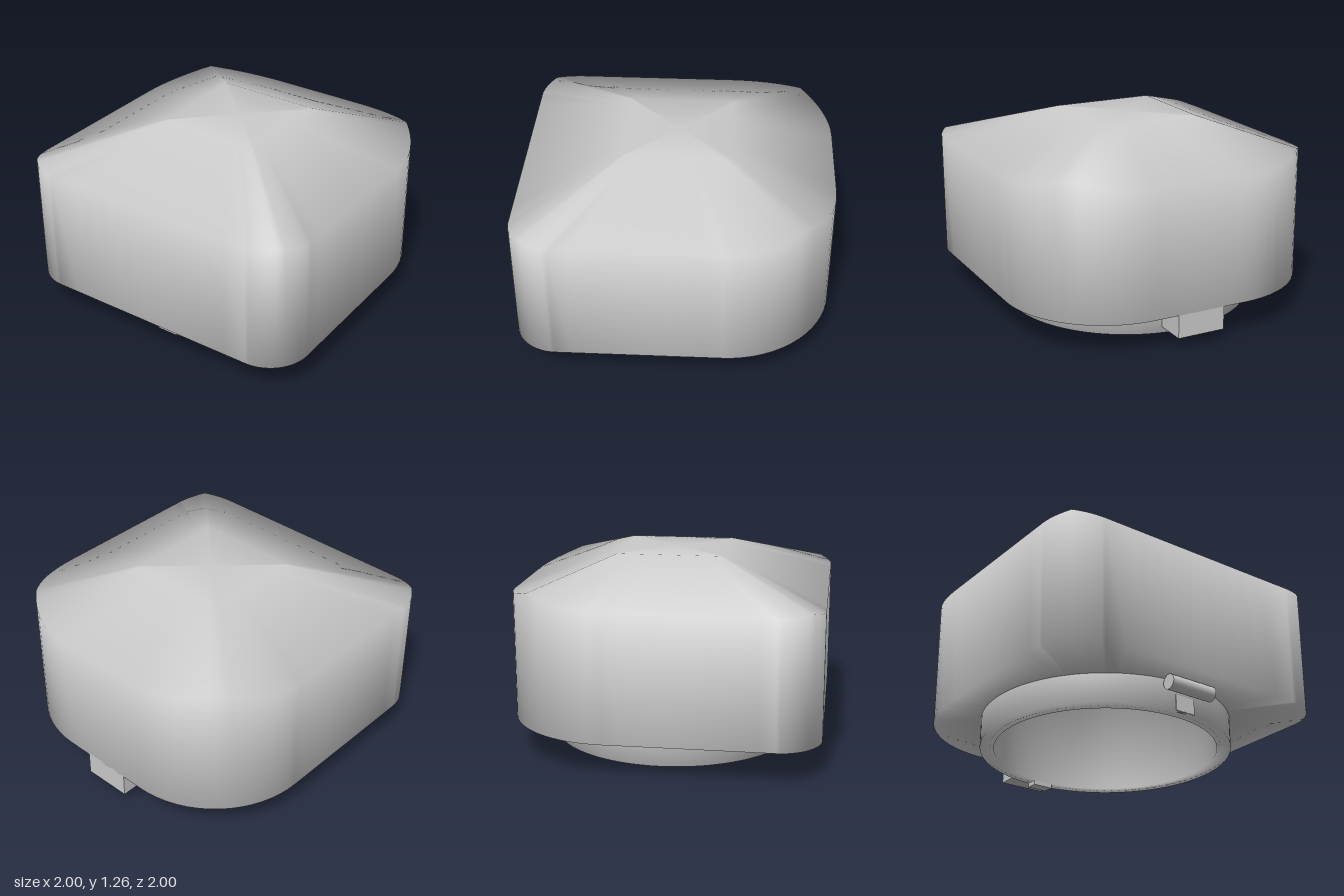
import * as THREE from 'three';

const mat = new THREE.MeshStandardMaterial({ color: 0xcccccc });

function add(parent, name, geometry, x = 0, y = 0, z = 0) {
  const mesh = new THREE.Mesh(geometry, mat);
  mesh.name = name;
  mesh.position.set(x, y, z);
  parent.add(mesh);
  return mesh;
}

// Plan outline: tight corners at the front, wide corners at the back
function planOutline() {
  const corners = [[1, 1, 0.27], [-1, 1, 0.27], [-1, -1, 0.68], [1, -1, 0.68]];
  const arcSteps = 16, sideSteps = 10, points = [];
  corners.forEach(([sx, sz, r], c) => {
    for (let i = 0; i <= arcSteps; i++) {
      const a = (c + i / arcSteps) * Math.PI / 2;
      points.push([sx * (1 - r) + r * Math.cos(a), sz * (1 - r) + r * Math.sin(a)]);
    }
    // Intermediate points along the straight side to the next corner
    const [nx, nz, nr] = corners[(c + 1) % 4];
    const a = (c + 1) * Math.PI / 2;
    const end = [nx * (1 - nr) + nr * Math.cos(a), nz * (1 - nr) + nr * Math.sin(a)];
    const start = points[points.length - 1];
    for (let i = 1; i < sideSteps; i++) {
      const t = i / sideSteps;
      points.push([start[0] + (end[0] - start[0]) * t, start[1] + (end[1] - start[1]) * t]);
    }
  });
  return points;
}

// Body: rounded plan, cut by a four-sided roof with a flat square top
function bodyGeometry() {
  const bottom = 0.22, top = 1.265, flat = 0.335, slope = 0.355, hole = 0.77;
  const plan = planOutline(), n = plan.length;
  const extent = ([x, z]) => Math.max(Math.abs(x), Math.abs(z));
  const loops = [
    plan.map(([x, z]) => { const k = hole / Math.hypot(x, z); return [x * k, bottom, z * k]; }),
    plan.map(([x, z]) => [x, bottom, z]),
    plan.map(p => [p[0], top - slope * (extent(p) - flat), p[1]]),
    plan.map(p => { const k = flat / extent(p); return [p[0] * k, top, p[1] * k]; }),
  ];
  const positions = [...loops.flat(2), 0, top, 0];
  const index = [];
  for (let l = 0; l < loops.length; l++) {
    for (let i = 0; i < n; i++) {
      const j = (i + 1) % n, a = l * n + i, b = l * n + j;
      if (l === loops.length - 1) index.push(a, loops.length * n, b);
      else index.push(a, a + n, b + n, a, b + n, b);
    }
  }
  const g = new THREE.BufferGeometry();
  g.setAttribute('position', new THREE.Float32BufferAttribute(positions, 3));
  g.setIndex(index);
  g.computeVertexNormals();
  return g;
}

export function createModel() {
  const model = new THREE.Group();
  model.name = 'cap';

  add(model, 'body', bodyGeometry());

  // Collar with its blind bore
  const profile = [[0, 1], [0.72, 1], [0.72, 0.03], [0.81, 0.03], [0.81, 0.23]]
    .map(([r, y]) => new THREE.Vector2(r, y));
  add(model, 'collar', new THREE.LatheGeometry(profile, 96));

  // Front cross bar under the body
  const bar = new THREE.CylinderGeometry(0.048, 0.048, 0.33, 32);
  bar.rotateZ(Math.PI / 2);
  add(model, 'frontBar', bar, 0, 0.172, 0.86);

  // Small pad on the front of the collar
  add(model, 'frontPad', new THREE.BoxGeometry(0.14, 0.1, 0.03), 0, 0.08, 0.797);

  // Back block and the locating tab below the collar
  add(model, 'backBlock', new THREE.BoxGeometry(0.32, 0.16, 0.21), 0, 0.15, -0.895);
  add(model, 'backTab', new THREE.BoxGeometry(0.14, 0.06, 0.08), 0, 0.03, -0.765);

  return model;
}
